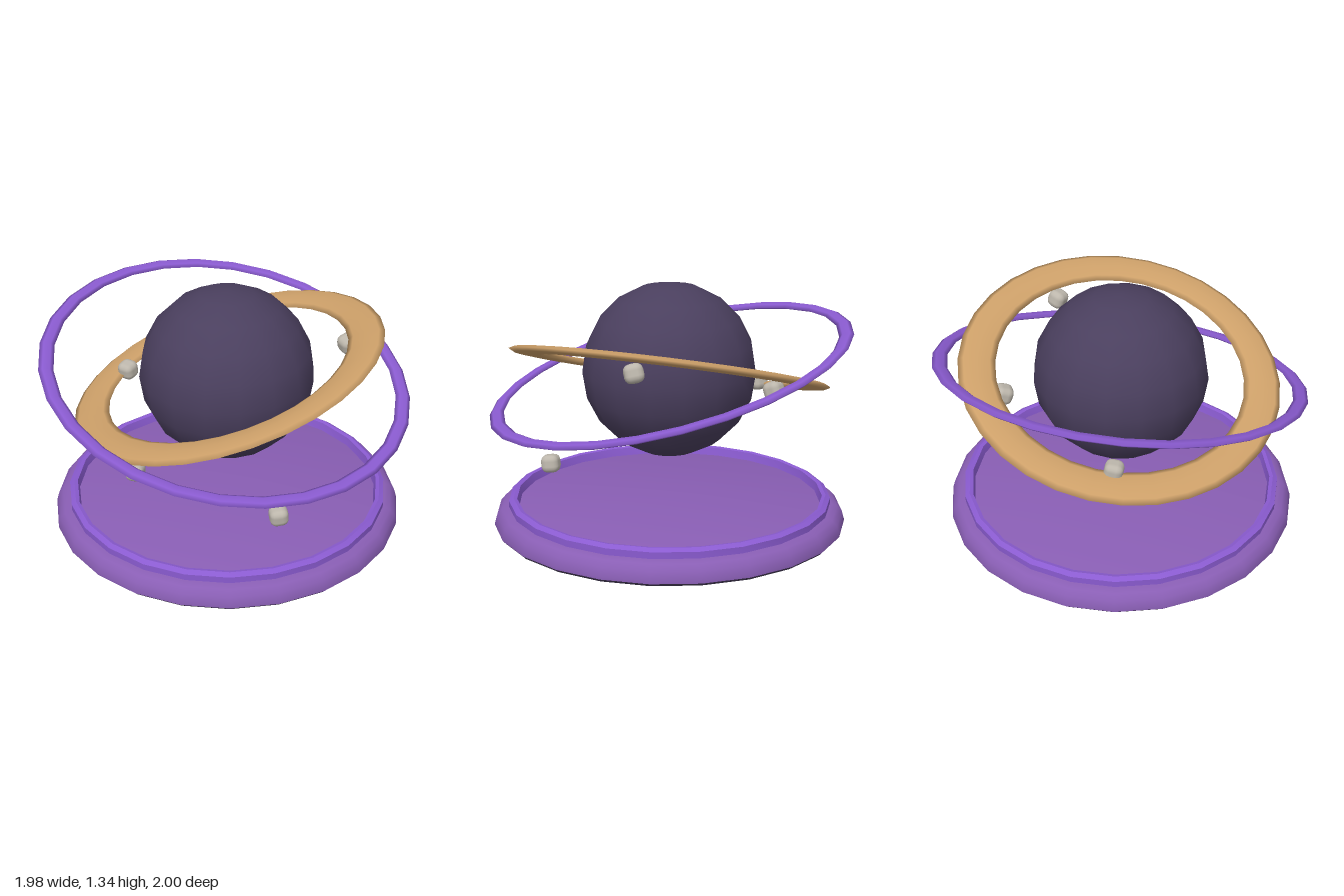
import * as THREE from 'three';
import { toCreasedNormals } from 'three/addons/utils/BufferGeometryUtils.js';
import { RoundedBoxGeometry } from 'three/addons/geometries/RoundedBoxGeometry.js';

const CENTER_Y = 0.86;
const UP = new THREE.Vector3(0, 1, 0);

function material(name, color) {
  const m = new THREE.MeshStandardMaterial({ color });
  m.name = name;
  return m;
}

export function createModel() {
  const model = new THREE.Group();
  model.name = 'ringedPlanet';

  const dark = material('dark plum', 0x4a3f5e);
  const gold = material('gold', 0xcda069);
  const violet = material('violet', 0x8a5bd0);
  const purple = material('purple', 0x895eb4);
  const stone = material('pale stone', 0xbdb7ac);

  function add(name, geometry, mat) {
    const mesh = new THREE.Mesh(geometry, mat);
    mesh.name = name;
    model.add(mesh);
    return mesh;
  }

  function lathe(points, segments) {
    const profile = points.map(([r, y]) => new THREE.Vector2(r, y));
    return toCreasedNormals(new THREE.LatheGeometry(profile, segments), 0.7);
  }

  // Round base: dark foot, sloping body and raised rim
  add('baseFoot', lathe([[0, 0], [0.955, 0], [0.97, 0.016]], 24), dark);
  add('baseBody', lathe([
    [0.97, 0.016], [0.97, 0.03], [0.957, 0.075], [0.93, 0.105], [0.9, 0.115], [0, 0.115],
  ], 24), purple);
  add('baseRim', lathe([
    [0.89, 0.112], [0.89, 0.15], [0.865, 0.165], [0.845, 0.16], [0.835, 0.113],
  ], 24), violet);

  // Planet
  const planet = add('planet', new THREE.SphereGeometry(0.475, 16, 10), dark);
  planet.position.y = CENTER_Y;

  // Flattened rings, each tilted so its plane rises by the given slopes in x and z
  function addRing(name, radius, tube, thickness, sides, segments, slopeX, slopeZ, mat) {
    const geometry = new THREE.TorusGeometry(radius, tube, sides, segments);
    geometry.rotateX(-Math.PI / 2);
    geometry.scale(1, thickness / (2 * tube), 1);
    const ring = add(name, geometry, mat);
    const normal = new THREE.Vector3(-slopeX, 1, -slopeZ).normalize();
    ring.quaternion.setFromUnitVectors(UP, normal);
    ring.position.y = CENTER_Y;
  }
  addRing('goldRing', 0.775, 0.1, 0.042, 8, 32, 0.31, -0.065, gold);
  addRing('violetRing', 0.973, 0.04, 0.032, 6, 28, -0.21, -0.16, violet);

  // Small floating moons
  const moonGeometry = new RoundedBoxGeometry(0.1, 0.1, 0.1, 2, 0.036);
  [
    [-0.36, 0.5, 0.54],
    [0.405, 0.33, 0.515],
    [0.615, 0.99, -0.225],
    [-0.625, 0.69, -0.18],
    [-0.03, 0.83, -0.645],
  ].forEach(([x, y, z], i) => {
    const moon = add('moon' + (i + 1), moonGeometry, stone);
    moon.position.set(x, y, z);
    moon.rotation.set(0.12 * (i % 3), 0.4 * i, 0.06 * i);
  });

  return model;
}
